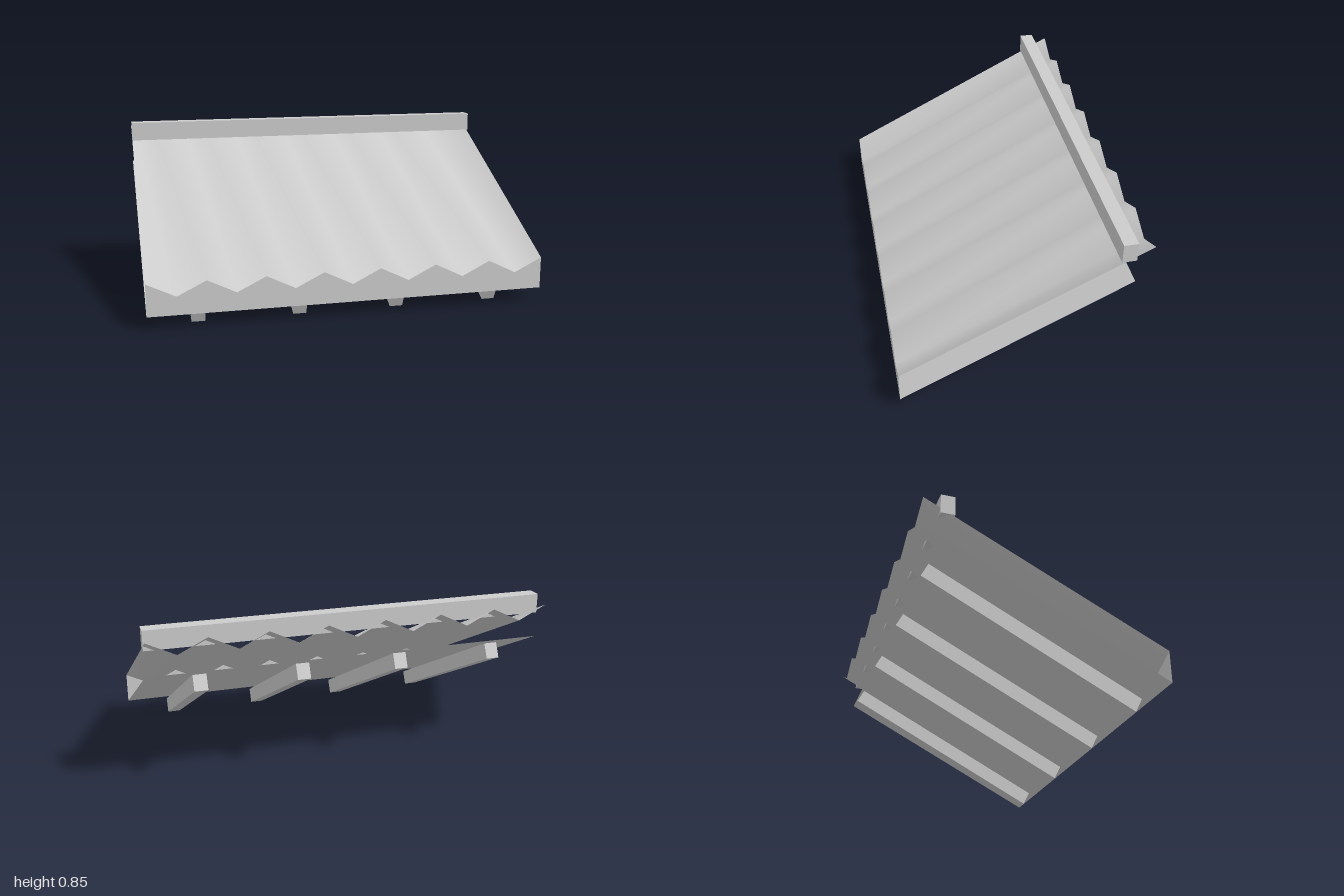
import * as THREE from 'three';

const grey = new THREE.MeshStandardMaterial({ color: 0xcccccc });
const sheetGrey = new THREE.MeshStandardMaterial({ color: 0xcccccc, side: THREE.DoubleSide });

const FRONT = 0.593, BACK = -0.593, RIDGES = 7;

// Row of points across the width; ridges > 0 gives a zigzag between low and high
function row(z, low, high = low) {
  const points = [];
  const n = RIDGES * 2;
  for (let i = 0; i <= n; i++) {
    points.push(new THREE.Vector3(-1 + (2 * i) / n, i % 2 ? low : high, z));
  }
  return points;
}

// Thin surface stretched between two rows of points
function sheet(name, a, b) {
  const geometry = new THREE.BufferGeometry().setFromPoints([...a, ...b]);
  const index = [];
  const n = a.length;
  for (let i = 0; i < n - 1; i++) {
    index.push(i, i + 1, n + i, i + 1, n + i + 1, n + i);
  }
  geometry.setIndex(index);
  geometry.computeVertexNormals();
  const mesh = new THREE.Mesh(geometry, sheetGrey);
  mesh.name = name;
  return mesh;
}

function box(name, size, position, tilt = 0) {
  const mesh = new THREE.Mesh(new THREE.BoxGeometry(...size), grey);
  mesh.position.set(...position);
  mesh.rotation.x = tilt;
  mesh.name = name;
  return mesh;
}

export function createModel() {
  const roof = new THREE.Group();
  roof.name = 'corrugatedRoof';

  // Corrugated covering, rising to the back
  roof.add(sheet('corrugatedSheet', row(FRONT, 0.16, 0.23), row(BACK, 0.753, 0.823)));

  // Vertical front board cut to the corrugation
  roof.add(sheet('fascia', row(FRONT, 0.069), row(FRONT, 0.16, 0.23)));

  // Flat lining below, open at the sides and back
  roof.add(sheet('lining', row(FRONT, 0.069), row(-0.515, 0.631)));

  // Ridge beam across the upper end
  roof.add(box('ridgeBeam', [2, 0.098, 0.07], [0, 0.806, -0.475]));

  // Sloping rafters under the lining
  for (let i = 0; i < 4; i++) {
    roof.add(box('rafter', [0.066, 0.079, 1.186], [-0.752 + i * 0.5, 0.309, 0.005], Math.atan2(0.542, 1.055)));
  }
  return roof;
}
